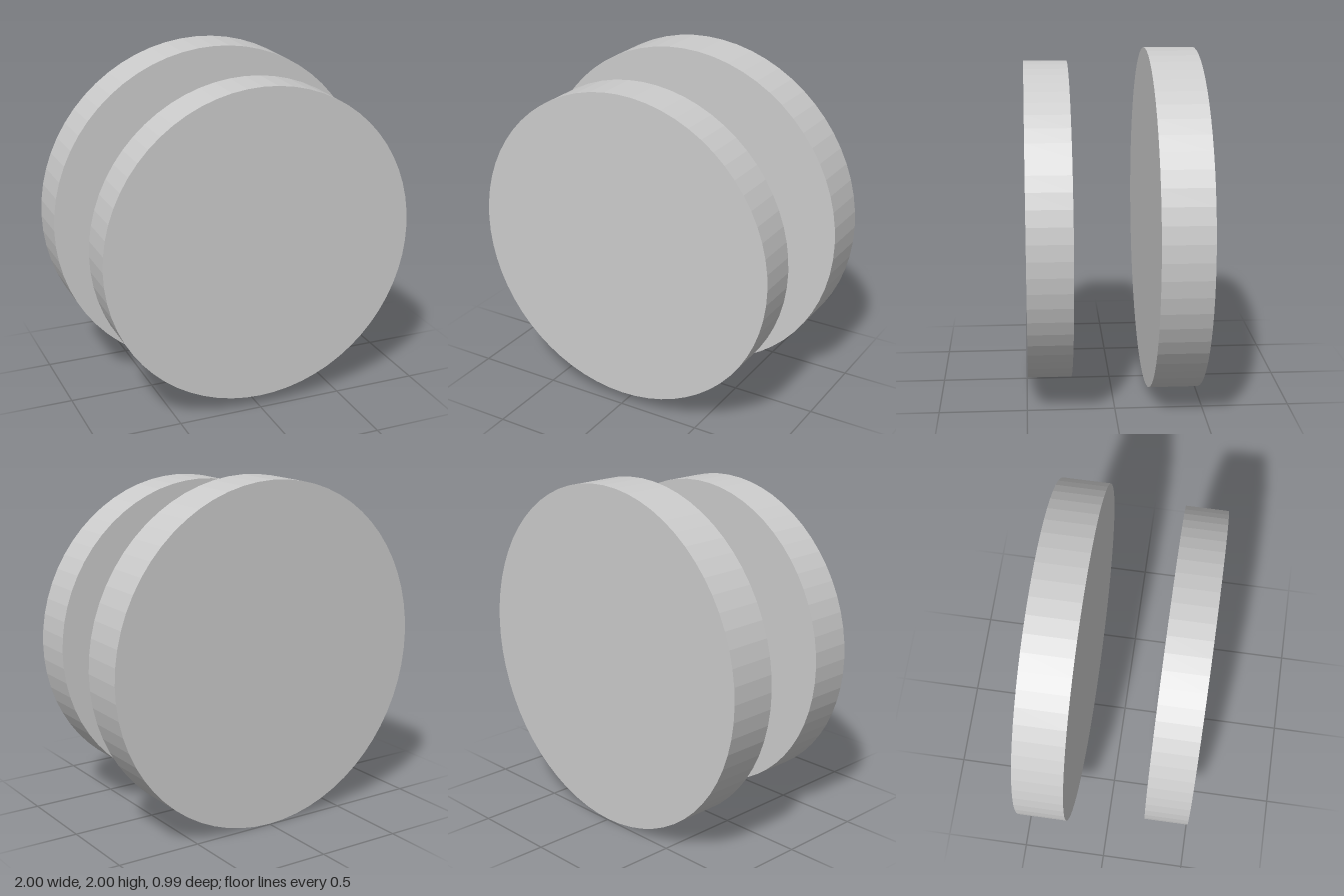
import * as THREE from 'three';

const SIDES = 64;

export function createModel() {
  const model = new THREE.Group();
  const material = new THREE.MeshStandardMaterial({ color: 0xcccccc, flatShading: true });

  // Solid disc standing upright, its axis along z
  function addDisc(name, radius, zBack, zFront) {
    const geometry = new THREE.CylinderGeometry(radius, radius, zFront - zBack, SIDES);
    geometry.rotateX(Math.PI / 2);
    const disc = new THREE.Mesh(geometry, material);
    disc.name = name;
    disc.position.set(0, 1, (zBack + zFront) / 2);
    model.add(disc);
  }

  // Two separate discs sharing one axis, the rear one slightly larger and thicker
  addDisc('frontDisc', 0.927, 0.2425, 0.4925);
  addDisc('rearDisc', 1, -0.4925, -0.2075);

  return model;
}
